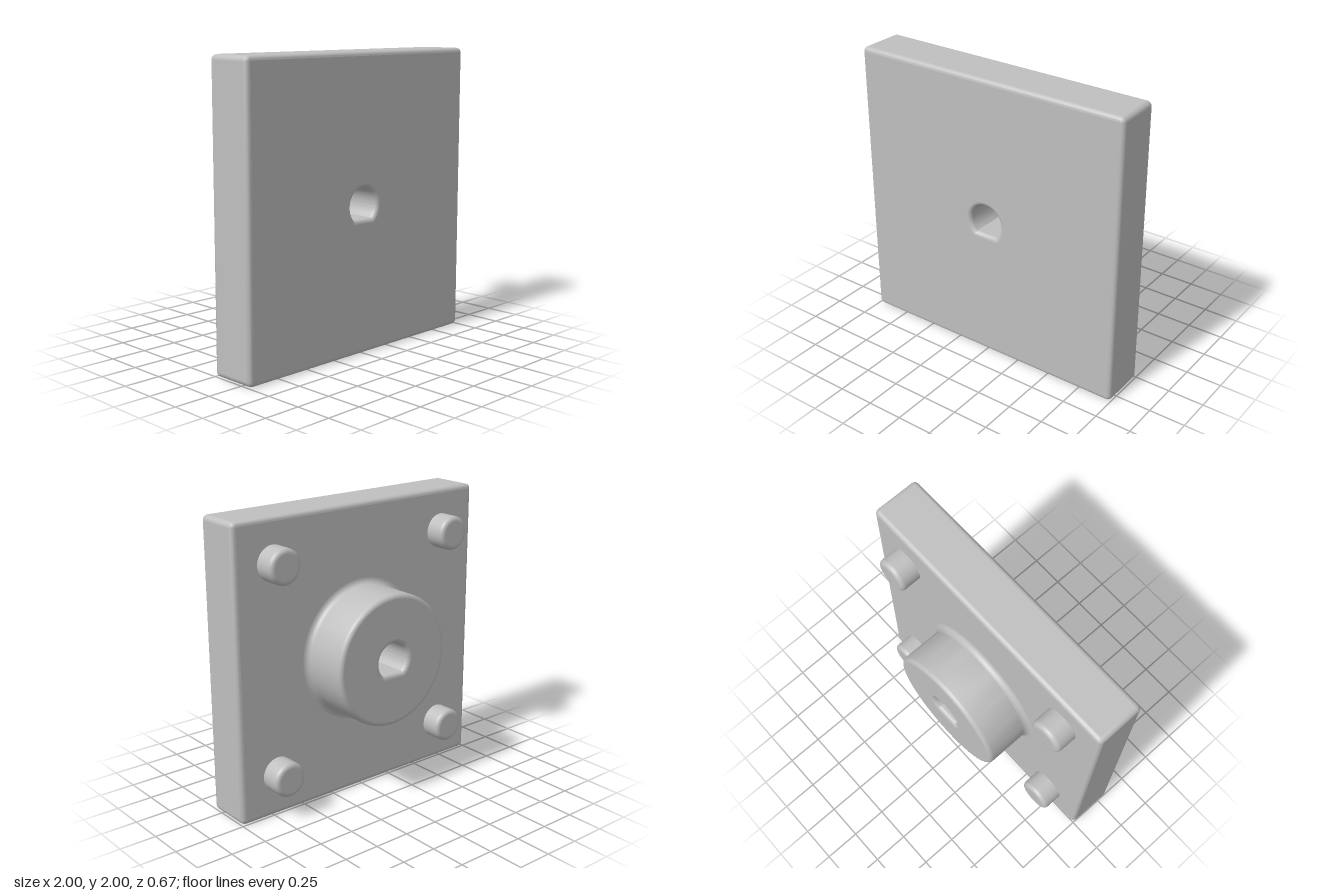
import * as THREE from 'three';
import { toCreasedNormals } from 'three/addons/utils/BufferGeometryUtils.js';

const ROUND = 0.03; // edge rounding
const THICK = 0.333; // plate thickness and boss height
const BORE = 0.12;
const FLAT = -0.09; // height of the bore's flat side

// D-shaped outline of the shaft bore
function boreOutline() {
  const a = Math.asin(FLAT / BORE);
  const path = new THREE.Path();
  path.absarc(0, 0, BORE, a, Math.PI - a, false);
  path.closePath();
  return path;
}

function squareOutline(half, r) {
  const pts = [];
  const steps = 4;
  for (let c = 0; c < 4; c++) {
    const mid = Math.PI / 4 + c * Math.PI / 2;
    const cx = Math.sign(Math.cos(mid)) * (half - r);
    const cy = Math.sign(Math.sin(mid)) * (half - r);
    for (let i = 0; i <= steps; i++) {
      const a = (c + i / steps) * Math.PI / 2;
      pts.push(new THREE.Vector2(cx + r * Math.cos(a), cy + r * Math.sin(a)));
    }
  }
  return new THREE.Shape(pts);
}

// Extrusion with rounded rims from z0 to z1; flat faces keep flat normals
function roundedExtrude(shape, z0, z1) {
  const extruded = new THREE.ExtrudeGeometry(shape, {
    depth: z1 - z0 - 2 * ROUND, curveSegments: 32, bevelEnabled: true,
    bevelThickness: ROUND, bevelSize: ROUND, bevelOffset: -ROUND, bevelSegments: 5,
  });
  extruded.translate(0, 0, z0 + ROUND);
  const geo = toCreasedNormals(extruded, 0.6);
  const pos = geo.attributes.position;
  const nor = geo.attributes.normal;
  const tri = new THREE.Triangle();
  const n = new THREE.Vector3();
  for (let i = 0; i < pos.count; i += 3) {
    tri.setFromAttributeAndIndices(pos, i, i + 1, i + 2);
    tri.getNormal(n);
    if (Math.max(Math.abs(n.x), Math.abs(n.y), Math.abs(n.z)) > 0.9999) {
      for (let k = 0; k < 3; k++) nor.setXYZ(i + k, n.x, n.y, n.z);
    }
  }
  return geo;
}

// Turned part whose axis points to the back (-z)
function turned(points, segments) {
  const geo = new THREE.LatheGeometry(points.map(([r, h]) => new THREE.Vector2(r, h)), segments);
  return geo.rotateX(-Math.PI / 2);
}

export function createModel() {
  const model = new THREE.Group();
  const grey = new THREE.MeshStandardMaterial({ color: 0xbfbfbf });
  grey.name = 'grey';
  const filletGrey = grey;

  const add = (name, geo, x = 0, y = 1) => {
    const mesh = new THREE.Mesh(geo, filletGrey);
    mesh.name = name;
    mesh.position.set(x, y, 0);
    model.add(mesh);
  };

  // Square plate
  const square = squareOutline(1, 0.034);
  square.holes.push(boreOutline());
  add('plate', roundedExtrude(square, 0, THICK));

  // Round boss, sunk into the plate so that the bore runs straight through
  const disc = new THREE.Shape();
  disc.absarc(0, 0, 0.45, 0, Math.PI * 2, false);
  disc.holes.push(boreOutline());
  add('boss', roundedExtrude(disc, -THICK, 0.12));

  // Hollow fillet where the boss meets the plate
  const fillet = [];
  for (let i = 0; i <= 6; i++) {
    const a = i / 6 * Math.PI / 2;
    fillet.push([0.49 - 0.04 * Math.sin(a), 0.04 - 0.04 * Math.cos(a)]);
  }
  add('bossFillet', turned(fillet, 64));

  // Four locating pegs with rounded tips
  const pegR = 0.118;
  const pegH = 0.144;
  const peg = [[pegR, -0.02], [pegR, pegH - ROUND - 0.002]];
  for (let i = 0; i <= 6; i++) {
    const a = i / 6 * Math.PI / 2;
    peg.push([pegR - ROUND + ROUND * Math.cos(a), pegH - ROUND + ROUND * Math.sin(a)]);
  }
  peg.push([pegR - ROUND - 0.002, pegH], [0, pegH]);
  const pegGeo = turned(peg, 40);
  for (const sx of [-1, 1]) {
    for (const sy of [-1, 1]) {
      add(`${sy > 0 ? 'upper' : 'lower'}${sx > 0 ? 'Left' : 'Right'}Peg`, pegGeo, sx * 0.707, 1 + sy * 0.71);
    }
  }
  return model;
}
